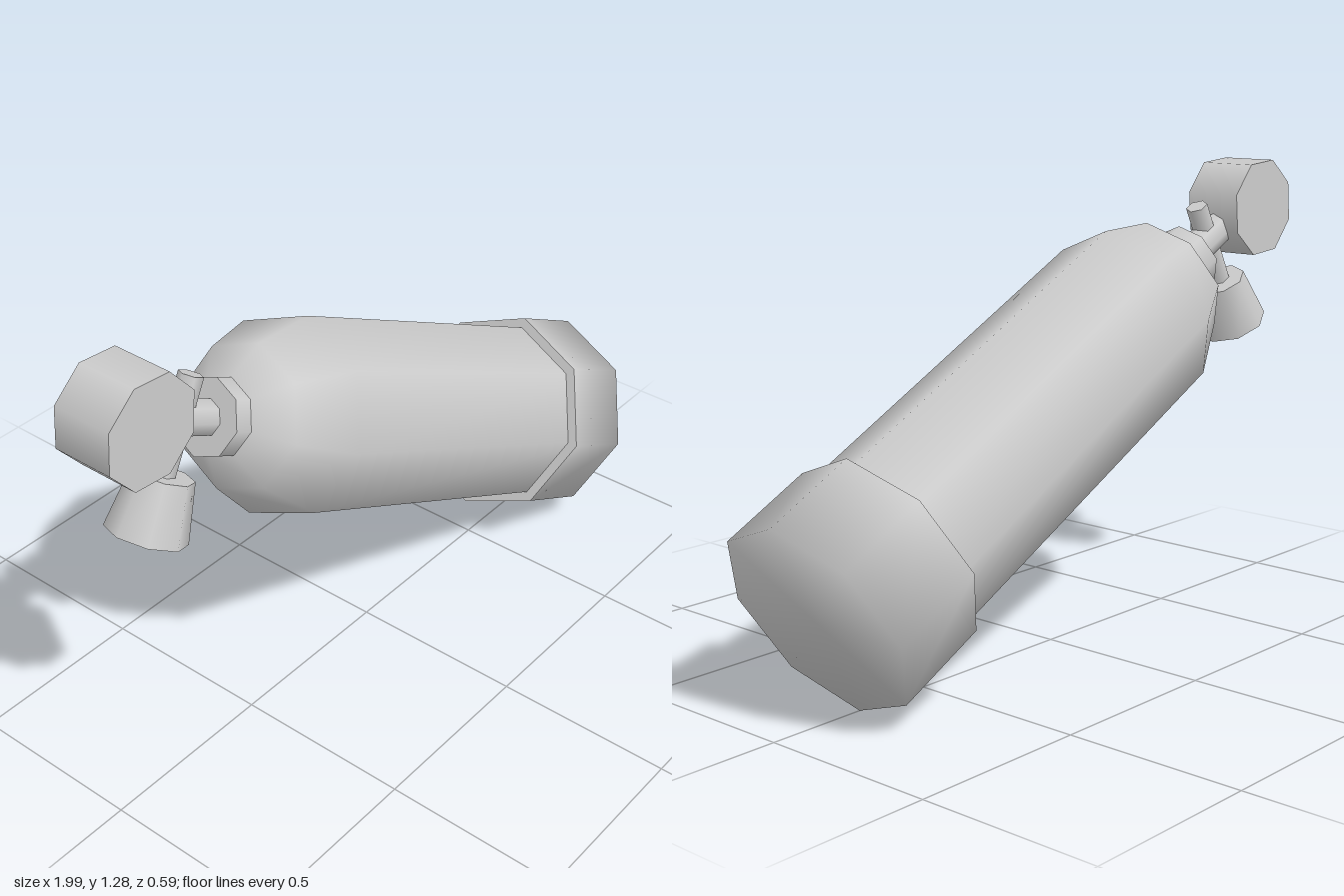
import * as THREE from 'three';

export function createModel() {
  const model = new THREE.Group();
  model.name = 'divingTank';
  const grey = new THREE.MeshStandardMaterial({ color: 0xcccccc });
  grey.name = 'light grey';

  // Everything is built upright along the tank axis, then tilted as one
  const tilted = new THREE.Group();
  tilted.name = 'tiltedTank';
  tilted.position.set(0.857, 0.267, 0);
  tilted.rotation.z = THREE.MathUtils.degToRad(62.8);
  model.add(tilted);

  const add = (name, geometry, x = 0, y = 0) => {
    const mesh = new THREE.Mesh(geometry, grey);
    mesh.name = name;
    mesh.position.set(x, y, 0);
    tilted.add(mesh);
    return mesh;
  };
  // Eight-sided smooth turned part from [radius, height] pairs
  const turned = (name, points) =>
    add(name, new THREE.LatheGeometry(points.map(([r, y]) => new THREE.Vector2(r, y)), 8));

  // Protective boot around the base, with a flat lip at its top
  turned('boot', [[0, 0], [0.294, 0], [0.294, 0.275]]);
  turned('bootLip', [[0.294, 0.275], [0.25, 0.275]]);

  // Tank body with faceted shoulder
  turned('tankBody', [[0.265, 0.1], [0.265, 1.36], [0.19, 1.525], [0.098, 1.597], [0, 1.6]]);

  // Neck collar and valve stem
  add('neckCollar', new THREE.CylinderGeometry(0.102, 0.102, 0.06, 8), 0, 1.62);
  add('valveStem', new THREE.CylinderGeometry(0.048, 0.048, 0.2, 8), 0, 1.74);

  // Round valve head lying across the axis
  add('valveHead', new THREE.CylinderGeometry(0.145, 0.145, 0.172, 8), 0, 1.934).rotation.x = Math.PI / 2;

  // Cross rod carrying the tapered knob
  const rod = new THREE.CylinderGeometry(0.032, 0.032, 0.27, 6);
  rod.rotateY(Math.PI / 6);
  rod.rotateZ(-Math.PI / 2);
  add('crossRod', rod, -0.025, 1.748);
  const knob = new THREE.CylinderGeometry(0.079, 0.105, 0.155, 8);
  knob.rotateZ(-Math.PI / 2);
  add('valveKnob', knob, -0.22, 1.745);

  return model;
}
